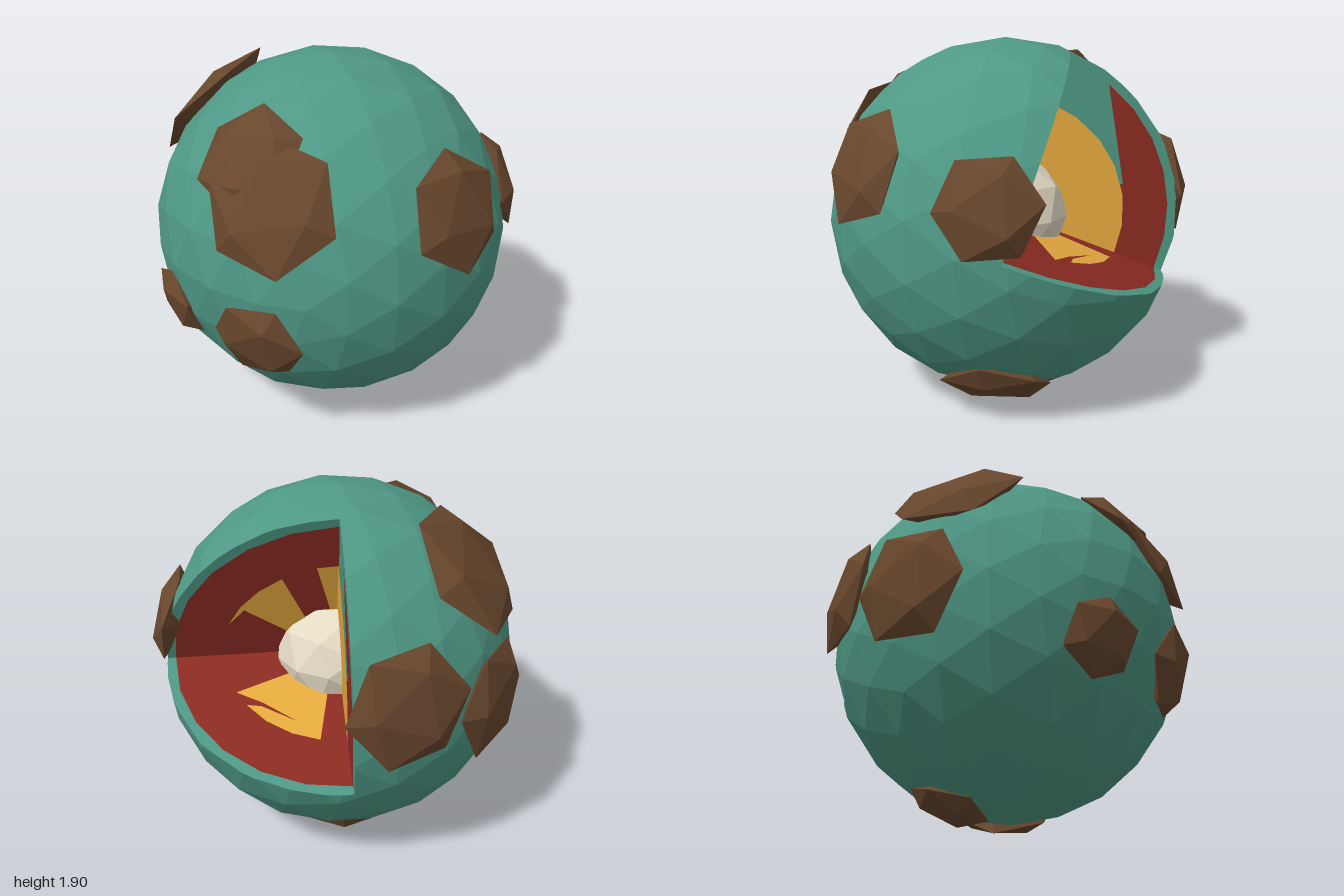
import * as THREE from 'three';

const mat = (name, color) => Object.assign(new THREE.MeshStandardMaterial({ color }), { name });
const V = (x, y, z) => new THREE.Vector3(x, y, z);

const CENTER = V(0.035, 0.968, 0);
const R = 0.94;

// Three perpendicular edges of the removed eighth: up, front-right, back-right
const A = V(0.27, 0.935, -0.24).normalize();
const C = V(0.67, -0.33, -0.67).addScaledVector(A, -V(0.67, -0.33, -0.67).dot(A)).normalize();
const B = new THREE.Vector3().crossVectors(C, A);

// Part of a convex polygon on one side of a plane through the centre
function clip(poly, n, sign) {
  const out = [];
  poly.forEach((p, i) => {
    const q = poly[(i + 1) % poly.length];
    const dp = p.dot(n) * sign, dq = q.dot(n) * sign;
    if (dp >= 0) out.push(p);
    if (dp * dq < 0) out.push(p.clone().lerp(q, dp / (dp - dq)));
  });
  return out;
}

function fromTriangles(points) {
  const geo = new THREE.BufferGeometry().setFromPoints(points);
  geo.computeVertexNormals();
  return geo;
}

// Faceted ball with an eighth cut out; the cut is closed by fans to the centre
function crustGeometries() {
  const pos = new THREE.IcosahedronGeometry(R, 3).attributes.position;
  const shell = [], walls = [];
  const fan = (poly) => {
    for (let i = 1; i < poly.length - 1; i++) shell.push(poly[0], poly[i], poly[i + 1]);
  };
  for (let i = 0; i < pos.count; i += 3) {
    let rest = [0, 1, 2].map((k) => new THREE.Vector3().fromBufferAttribute(pos, i + k));
    for (const n of [A, B, C]) {
      fan(clip(rest, n, -1));
      rest = clip(rest, n, 1);
    }
    rest.forEach((p, k) => {
      const q = rest[(k + 1) % rest.length];
      for (const n of [A, B, C]) {
        if (Math.abs(p.dot(n)) < 1e-6 && Math.abs(q.dot(n)) < 1e-6) walls.push(p, q, V(0, 0, 0));
      }
    });
  }
  return [fromTriangles(shell), fromTriangles(walls)];
}

// Points along an arc, in degrees
function arc(r, from, to, steps = 6) {
  return Array.from({ length: steps + 1 }, (_, i) => {
    const t = THREE.MathUtils.degToRad(from + ((to - from) * i) / steps);
    return [r * Math.cos(t), r * Math.sin(t)];
  });
}

export function createModel() {
  const model = new THREE.Group();
  const teal = mat('crustTeal', 0x4f9885);
  const red = mat('mantleRed', 0x8b2b22);
  const gold = mat('outerCoreGold', 0xe6ab3e);
  const cream = mat('coreCream', 0xe6dcc6);
  const brown = mat('rockBrown', 0x68472d);

  const planet = new THREE.Group();
  planet.name = 'planet';
  planet.position.copy(CENTER);
  model.add(planet);
  const add = (name, geo, material) => {
    const mesh = new THREE.Mesh(geo, material);
    mesh.name = name;
    planet.add(mesh);
    return mesh;
  };

  // Crust and cut faces
  const [shell, walls] = crustGeometries();
  add('crust', shell, teal);
  add('cutWalls', walls, teal);

  // Inner core
  const core = new THREE.IcosahedronGeometry(0.34, 1);
  core.computeVertexNormals();
  add('innerCore', core, cream);

  // Coloured layers lying on the cut faces
  const layer = (name, u, v, level, points, material) => {
    const shape = new THREE.Shape(points.map(([x, y]) => new THREE.Vector2(x, y)));
    const n = new THREE.Vector3().crossVectors(u, v);
    const geo = new THREE.ShapeGeometry(shape);
    geo.applyMatrix4(new THREE.Matrix4().makeBasis(u, v, n).setPosition(n.clone().multiplyScalar(0.003 * level)));
    add(name, geo, material);
  };
  const sector = (r) => [[0, 0], ...arc(r, 0, 90)];

  // Front-side wall
  layer('frontWallMantle', A, B, 1, sector(0.885), red);
  layer('frontWallOuterCorePatch', A, B, 2,
    [[0.27, 0.175], ...arc(0.63, 27, 67, 3), [0.35, 0.49], [0.17, 0.27]], gold);
  layer('frontWallOuterCoreStrip', A, B, 2, [[0.3, 0], [0.63, 0], [0.624, 0.11], [0.3, 0.04]], gold);

  // Back-side wall
  layer('backWallMantle', C, A, 1, [[0.3, 0], ...arc(0.885, 0, 73), [0.536, 0.382], [0.3, 0.1]], red);
  layer('backWallOuterCore', C, A, 2, sector(0.645), gold);

  // Floor
  layer('floorMantle', B, C, 1, sector(0.885), red);
  layer('floorOuterCore', B, C, 2,
    [[0.25, 0.15], [0.56, 0.27], [0.42, 0.35], [0.25, 0.48], [0.43, 0.37], ...arc(0.62, 35, 77, 3), [0.08, 0.3]], gold);

  // Flat faceted rocks on the surface: [x, y, z from the centre, radius, spin]
  const rocks = [
    [-0.11, 0.36, 0.87, 0.31, 0.24],
    [0.6, 0.24, 0.7, 0.265, 0.06],
    [-0.69, 0.6, 0.07, 0.28, 0.9],
    [-0.78, 0.45, 0.27, 0.34, 0.3],
    [-0.86, -0.25, 0.24, 0.25, 0.1],
    [-0.83, -0.28, -0.36, 0.21, 0.7],
    [-0.11, -0.01, -0.93, 0.32, 0],
    [-0.19, 0.62, -0.7, 0.38, -0.5],
    [0.45, 0.15, -0.81, 0.32, 0.6],
    [0.31, -0.78, 0.37, 0.3, 0.2],
    [0.21, -0.89, -0.22, 0.22, 0.5],
  ];
  const faceToZ = new THREE.Quaternion().setFromUnitVectors(V(1, 1, 1).normalize(), V(0, 0, 1));
  rocks.forEach(([x, y, z, r, spin], i) => {
    const geo = new THREE.IcosahedronGeometry(r, 0).applyQuaternion(faceToZ);
    geo.rotateZ(spin);
    geo.scale(1, 1, 0.085 / r);
    geo.computeVertexNormals();
    const rock = add('rock' + (i + 1), geo, brown);
    const out = V(x, y, z).normalize();
    rock.quaternion.setFromUnitVectors(V(0, 0, 1), out);
    rock.position.copy(out.multiplyScalar(0.92));
  });

  return model;
}
